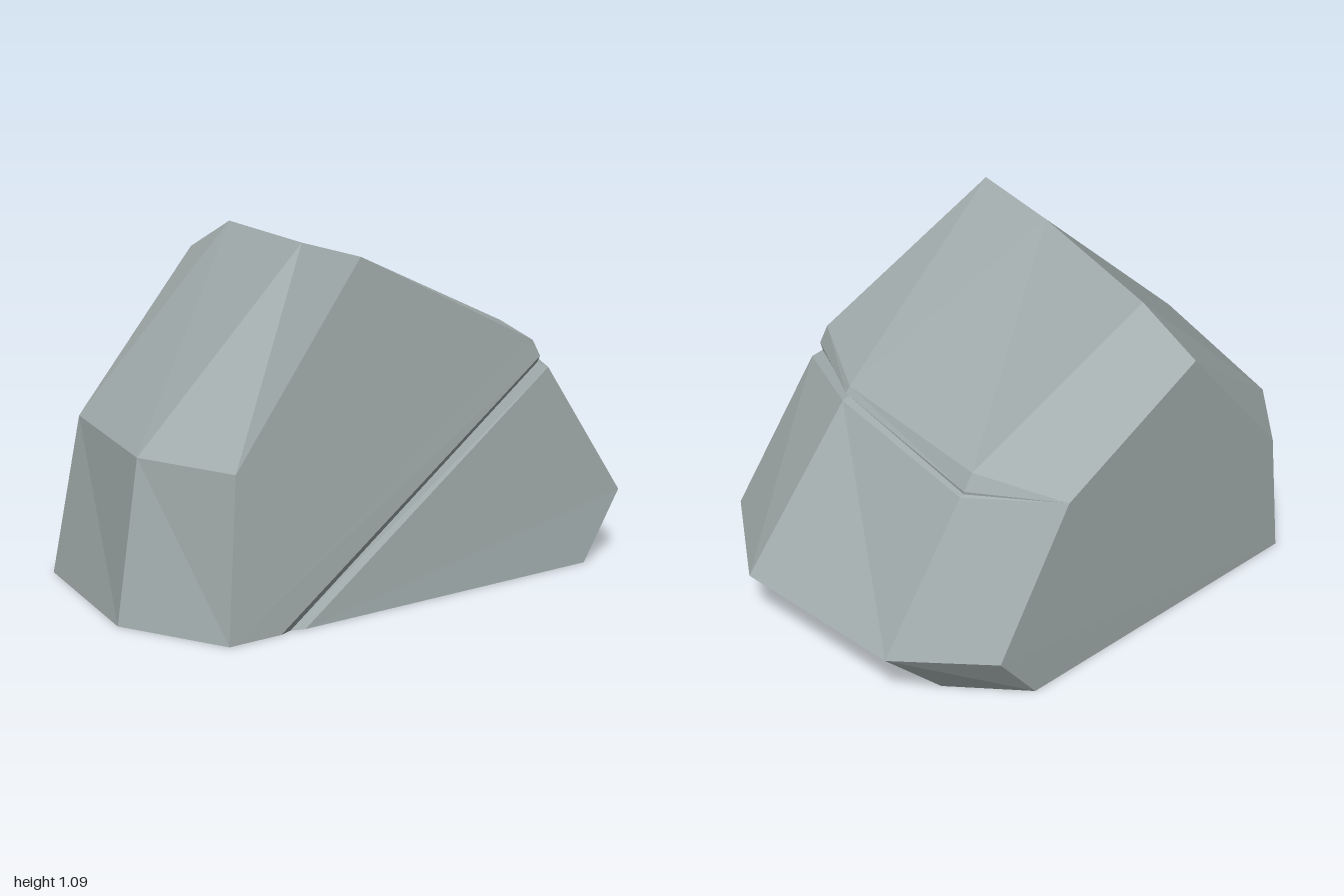
import * as THREE from 'three';

// Cross-sections from front to back; each runs from the -x foot over the crest
// to the +x foot. Entries 4, 5 and 6 are the upper rim, floor and lower rim of the crack.
const SECTIONS = [
  [[-0.84, 0, 0.665], [-0.79, 0.5, 0.63], [-0.3, 1.09, 0.575], [0.4, 0.765, 0.562],
    [0.43, 0.71, 0.565], [0.43, 0.688, 0.552], [0.465, 0.67, 0.566], [0.785, 0.22, 0.572], [0.61, 0, 0.6]],
  [[-1, 0, 0.3], [-0.905, 0.5, 0.27], [-0.25, 1.09, 0.2], [0.572, 0.765, 0.2],
    [0.588, 0.745, 0.2], [0.577, 0.731, 0.2], [0.602, 0.722, 0.2], [1, 0.22, 0.2], [0.76, 0, 0.225]],
  [[-0.87, 0, -0.33], [-0.74, 0.5, -0.37], [-0.11, 1.09, -0.425], [0.588, 0.765, -0.44],
    [0.62, 0.71, -0.44], [0.62, 0.7, -0.438], [0.632, 0.692, -0.435], [0.93, 0.22, -0.43], [0.71, 0, -0.42]],
  [[-0.65, 0, -0.56], [-0.56, 0.48, -0.595], [-0.12, 0.98, -0.655], [0.4, 0.69, -0.668],
    [0.4, 0.69, -0.668], [0.4, 0.69, -0.668], [0.4, 0.69, -0.668], [0.66, 0.2, -0.655], [0.5, 0, -0.63]],
];

// Where the crack meets the ground on the front face: upper rim, floor, lower rim
const CRACK_FOOT = [[-0.65, 0, 0.656], [-0.605, 0, 0.638], [-0.56, 0, 0.652]];

function rockGeometry() {
  const positions = [];
  const same = (p, q) => p.every((v, i) => v === q[i]);
  const polygon = (...pts) => {
    for (let i = 1; i < pts.length - 1; i++) {
      const [a, b, c] = [pts[0], pts[i], pts[i + 1]];
      if (!same(a, b) && !same(b, c) && !same(a, c)) positions.push(...a, ...b, ...c);
    }
  };

  // Facets wrapped around the sides and top
  for (let i = 0; i < SECTIONS.length - 1; i++) {
    const [near, far] = [SECTIONS[i], SECTIONS[i + 1]];
    for (let j = 0; j < near.length - 1; j++) polygon(near[j], near[j + 1], far[j + 1], far[j]);
  }

  // Front face, split by the diagonal crack
  const [front, middle, rear, back] = SECTIONS;
  const [upper, floor, lower] = CRACK_FOOT;
  polygon(front[0], upper, front[4], front[3], front[2], front[1]);
  polygon(upper, floor, front[5], front[4]);
  polygon(floor, lower, front[6], front[5]);
  polygon(lower, front[8], front[7], front[6]);

  // Back face and flat underside
  polygon(...back);
  polygon(back[0], back[8], rear[8], middle[8], front[8], lower, floor, upper, front[0], middle[0], rear[0]);

  const geometry = new THREE.BufferGeometry();
  geometry.setAttribute('position', new THREE.Float32BufferAttribute(positions, 3));
  geometry.computeVertexNormals();
  return geometry;
}

export function createModel() {
  const group = new THREE.Group();
  group.name = 'boulder';
  const stone = new THREE.MeshStandardMaterial({ color: 0xa3adad, flatShading: true });
  const rock = new THREE.Mesh(rockGeometry(), stone);
  rock.name = 'crackedRock';
  group.add(rock);
  return group;
}
